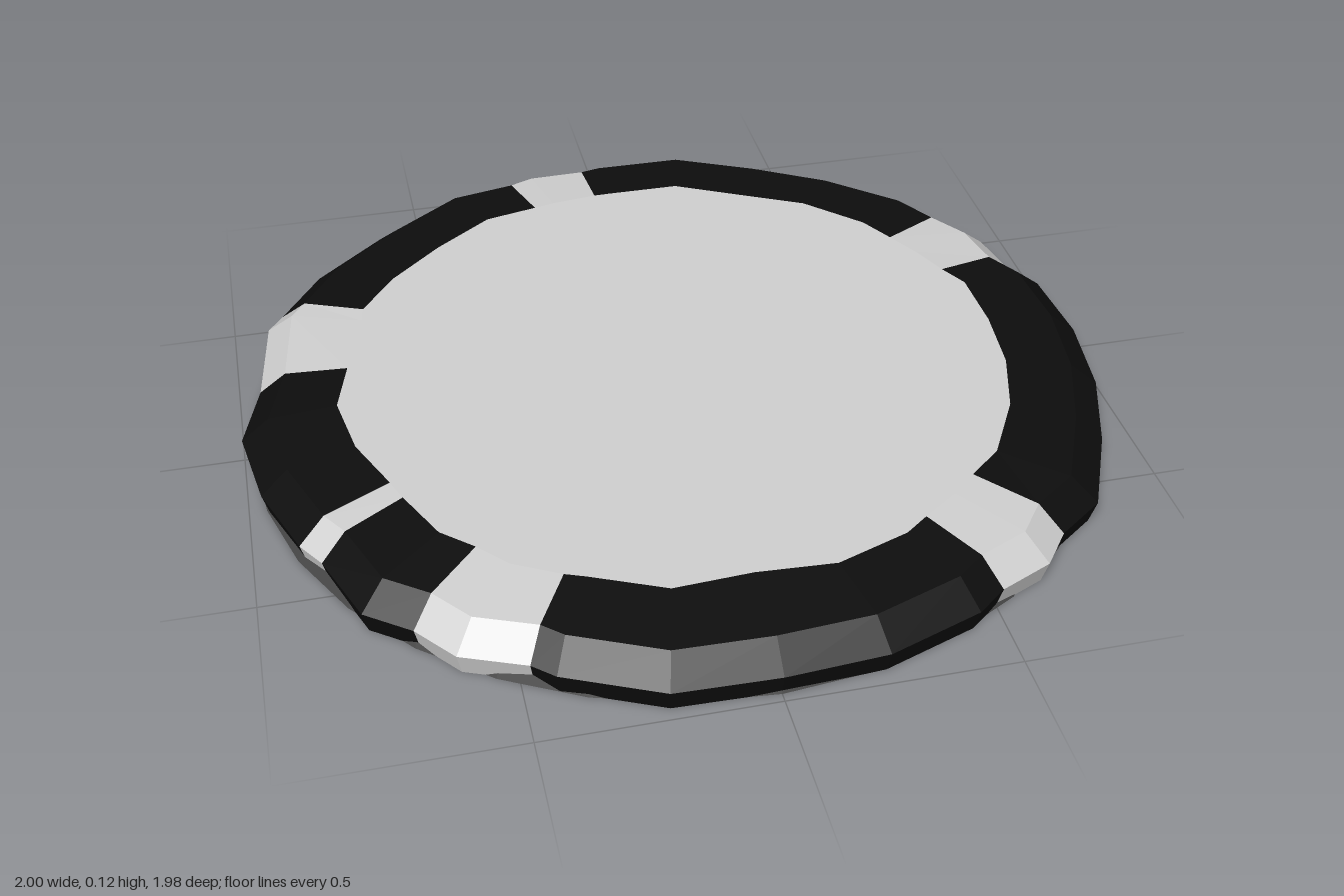
import * as THREE from 'three';

const mat = (name, color) => {
  const m = new THREE.MeshStandardMaterial({ color });
  m.name = name;
  return m;
};

// Hand-cut sections round the rim: angle from the front in degrees, outer radius, inner radius
const sections = [
  [0, 0.99, 0.75], [13, 1.0, 0.78], [26, 1.0, 0.78], [31, 0.985, 0.77], [38.5, 1.01, 0.77], [44.5, 0.99, 0.77],
  [52, 1.02, 0.785], [65, 0.993, 0.78], [77.5, 0.993, 0.775], [90, 1.0, 0.775], [102, 1.01, 0.79],
  [107.5, 0.985, 0.773], [115, 1.01, 0.77], [121.5, 1.0, 0.77], [128.5, 1.01, 0.78], [141.5, 0.996, 0.78],
  [154, 0.99, 0.765], [167, 1.015, 0.79], [180, 0.99, 0.77], [183, 0.98, 0.77], [191.5, 0.995, 0.77],
  [195.3, 0.985, 0.77], [205, 1.01, 0.787], [218, 0.99, 0.77], [231, 1.0, 0.775], [241.5, 1.0, 0.78],
  [245, 1.01, 0.765], [259.5, 0.965, 0.757], [270, 1.0, 0.78], [282, 0.99, 0.77], [293.5, 0.98, 0.755],
  [298, 0.97, 0.76], [308.5, 1.01, 0.78], [315.3, 0.985, 0.77], [322, 1.005, 0.78], [330.5, 0.975, 0.77],
  [334, 0.99, 0.765], [347, 1.01, 0.78],
];
// Angle ranges of the pale inserts
const inserts = [[31, 44.5], [107.5, 121.5], [183, 195.3], [241.5, 259.5], [293.5, 298], [315.3, 330.5]];
const isInsert = (a) => inserts.some(([from, to]) => a >= from && a < to);

const polar = (deg, r, y) => {
  const a = THREE.MathUtils.degToRad(deg);
  return new THREE.Vector3(r * Math.sin(a), y, r * Math.cos(a));
};

// Cross-section of the rim, from the inner lip over the bevel to the base
const profile = ([a, outer, inner]) => [
  polar(a, inner, 0.12), polar(a, outer * 0.935, 0.108), polar(a, outer, 0.055), polar(a, outer * 0.985, 0),
];

// Flat-shaded geometry from loose triangles
function facets(points) {
  const g = new THREE.BufferGeometry().setFromPoints(points);
  g.computeVertexNormals();
  return g;
}

function rimGeometry(start, count) {
  const pts = [];
  for (let i = start; i < start + count; i++) {
    const p = profile(sections[i % sections.length]);
    const q = profile(sections[(i + 1) % sections.length]);
    for (let j = 0; j < p.length - 1; j++) {
      pts.push(p[j], p[j + 1], q[j], q[j], p[j + 1], q[j + 1]);
    }
  }
  return facets(pts);
}

export function createModel() {
  const group = new THREE.Group();
  const black = mat('black', 0x0d0d0d);
  const pale = mat('pale grey', 0xd0d0d0);
  const dark = mat('dark grey', 0x4a4a4a);
  const add = (name, geometry, material) => {
    const m = new THREE.Mesh(geometry, material);
    m.name = name;
    group.add(m);
    return m;
  };

  // Rim: runs of black sections alternating with pale inserts
  const n = sections.length;
  for (let i = 0; i < n;) {
    const pieceIsInsert = isInsert(sections[i][0]);
    let count = 1;
    while (i + count < n && isInsert(sections[i + count][0]) === pieceIsInsert) count++;
    add(pieceIsInsert ? 'rimInsert' : 'rim', rimGeometry(i, count), pieceIsInsert ? pale : black);
    i += count;
  }

  // Top face fills the inner lip of the rim
  const top = [];
  sections.forEach((s, i) => {
    const next = sections[(i + 1) % n];
    top.push(new THREE.Vector3(0, 0.12, 0), polar(s[0], s[2], 0.12), polar(next[0], next[2], 0.12));
  });
  add('topFace', facets(top), pale);

  // Base plate, just showing where the rim is flattened
  const outline = [[0.71, 0], [0.98, 0], [0.966, 0.035], [0.85, 0.04]].map(([r, y]) => new THREE.Vector2(r, y));
  const base = new THREE.LatheGeometry(outline, 32).toNonIndexed();
  base.computeVertexNormals();
  add('basePlate', base, dark);

  // Pale disc on the underside
  add('undersideDisc', new THREE.CircleGeometry(0.71, 32).rotateX(Math.PI / 2), pale);

  return group;
}
